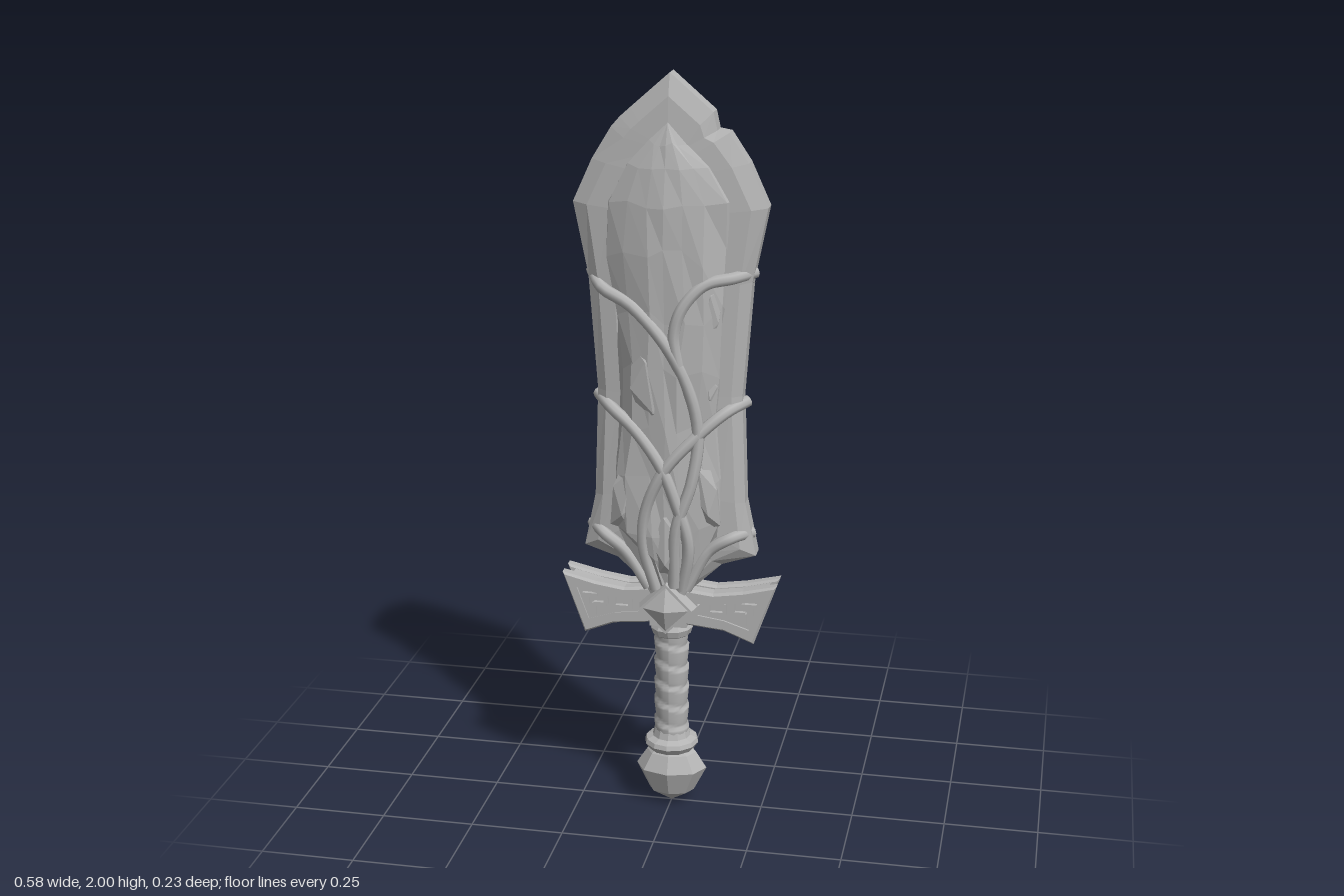
import * as THREE from 'three';

const stone = new THREE.MeshStandardMaterial({ color: 0xb4b4b4 });
stone.name = 'stone grey';
const facetedStone = stone.clone();
facetedStone.flatShading = true;
facetedStone.side = THREE.DoubleSide;

let seed = 7;
const rand = () => ((seed = (seed * 16807) % 2147483647) / 2147483647) * 2 - 1;

function add(parent, name, geometry, material = facetedStone) {
  const mesh = new THREE.Mesh(geometry, material);
  mesh.name = name;
  parent.add(mesh);
  return mesh;
}

// Joins rows of points with quads; closed rows wrap around
function loft(rows, closed) {
  const n = rows[0].length, index = [];
  for (let r = 0; r < rows.length - 1; r++) {
    for (let i = 0; i < (closed ? n : n - 1); i++) {
      const j = (i + 1) % n, a = r * n, b = a + n;
      index.push(a + i, b + i, b + j, a + i, b + j, a + j);
    }
  }
  const g = new THREE.BufferGeometry();
  g.setAttribute('position', new THREE.Float32BufferAttribute(rows.flat(2), 3));
  g.setIndex(index);
  g.computeVertexNormals();
  return g;
}

// Rock core: height, half width, depth
const CORE = [
  [1.88, 0, 0.05], [1.83, 0.05, 0.068], [1.77, 0.11, 0.083], [1.68, 0.16, 0.095], [1.55, 0.157, 0.1],
  [1.4, 0.145, 0.097], [1.25, 0.135, 0.095], [1.1, 0.14, 0.093], [0.95, 0.155, 0.095],
  [0.82, 0.15, 0.09], [0.72, 0.09, 0.08], [0.62, 0.04, 0.06],
];
function coreAt(y) {
  let i = 0;
  while (i < CORE.length - 2 && CORE[i + 1][0] > y) i++;
  const a = CORE[i], b = CORE[i + 1];
  const t = THREE.MathUtils.clamp((a[0] - y) / (a[0] - b[0]), 0, 1);
  return [a[1] + (b[1] - a[1]) * t, a[2] + (b[2] - a[2]) * t];
}
function surfaceZ(x, y) {
  const [w, d] = coreAt(y);
  const u = Math.min(1, Math.abs(x) / Math.max(w, 0.01));
  return 0.048 + (d - 0.048) * (1 - u * u);
}

function coreGeometry() {
  const columns = [-1, -0.93, -0.62, -0.3, 0, 0.3, 0.62, 0.93, 1];
  const rows = CORE.map(([y, w], r) => columns.map((u, c) => {
    const edge = c === 0 || c === columns.length - 1;
    const rough = r > 3 ? 1 : r > 0 ? 0.35 : 0;
    const x = u * w + rand() * 0.012 * rough * (u ? 1 : 0.5);
    const yy = y + rand() * 0.025 * rough;
    return [x, yy, edge ? 0.02 : surfaceZ(u * w, y) + 0.005 + rand() * 0.007 * rough];
  }));
  return loft(rows, false);
}

// Outer x, y then inner x, y, from the tip down one side
const LOWER = [
  [0.2, 1.78, 0.1, 1.76], [0.25, 1.67, 0.15, 1.66], [0.212, 1.48, 0.14, 1.47],
  [0.19, 1.18, 0.125, 1.18], [0.2, 0.89, 0.14, 0.9], [0.23, 0.745, 0.13, 0.8],
  [0.14, 0.715, 0.08, 0.75], [0.05, 0.63, 0.02, 0.66],
];
const NOTCHED = [[0.11, 1.905, 0.035, 1.83], [0.12, 1.86, 0.045, 1.82], [0.15, 1.855, 0.06, 1.8], ...LOWER];
const PLAIN = [[0.1, 1.912, 0.035, 1.83], [0.128, 1.887, 0.045, 1.82], [0.15, 1.862, 0.06, 1.8], ...LOWER];

function bladeGeometry() {
  const loop = [[0, 2, 0, 1.86], ...NOTCHED, ...PLAIN.map(([a, b, c, d]) => [-a, b, -c, d]).reverse()];
  const outer = z => loop.map(p => [p[0], p[1], z]);
  const inner = z => loop.map(p => [p[2], p[3], z]);
  const middle = z => loop.map(p => [p[0] * 0.6 + p[2] * 0.4, p[1] * 0.6 + p[3] * 0.4, z]);
  return loft([inner(-0.05), middle(-0.044), outer(-0.024), outer(0.024), middle(0.044), inner(0.05)], true);
}

// Vines on one face; a path that begins at the edge wraps round it
const VINES = [
  [[-0.21, 1.49], [-0.17, 1.455], [-0.09, 1.42], [0, 1.33], [0.06, 1.21], [0.085, 1.09], [0.07, 0.96], [0.03, 0.83], [0.02, 0.66]],
  [[0.215, 1.5], [0.17, 1.495], [0.1, 1.48], [0.045, 1.42], [0.025, 1.35], [0.035, 1.27]],
  [[-0.195, 1.16], [-0.15, 1.14], [-0.08, 1.09], [-0.01, 1.0], [0.03, 0.9], [0.06, 0.78], [0.04, 0.65]],
  [[0.2, 1.16], [0.15, 1.14], [0.08, 1.08], [0, 0.99], [-0.05, 0.88], [-0.06, 0.78], [-0.03, 0.65]],
  [[-0.215, 0.8], [-0.17, 0.79], [-0.11, 0.74], [-0.05, 0.65]],
  [[0.215, 0.8], [0.17, 0.8], [0.11, 0.76], [0.05, 0.65]],
];
function vineGeometry(path) {
  const points = path.map(([x, y], i) => new THREE.Vector3(x, y, i ? surfaceZ(x, y) + 0.004 : -0.005));
  return new THREE.TubeGeometry(new THREE.CatmullRomCurve3(points), 40, 0.016, 8);
}

// Loose shards: x, y, half width, half height, tilt
const SHARDS = [
  [0.1, 1.39, 0.042, 0.12, -0.25], [-0.1, 0.92, 0.05, 0.13, -0.25], [0, 0.79, 0.05, 0.12, 0],
  [-0.04, 1.21, 0.06, 0.13, 0.15], [0.11, 1.21, 0.025, 0.06, 0.1], [0.1, 0.93, 0.04, 0.12, 0.2],
];

// Everything that is repeated on the two faces of the sword
function buildFace(parent) {
  add(parent, 'rockCore', coreGeometry());
  for (const path of VINES) add(parent, 'vine', vineGeometry(path), stone);
  for (const [x, y, w, h, tilt] of SHARDS) {
    const shard = add(parent, 'rockShard', new THREE.IcosahedronGeometry(1, 0));
    shard.scale.set(w, h, 0.03);
    shard.rotation.z = tilt;
    shard.position.set(x, y, surfaceZ(x, y) - 0.016);
  }
  add(parent, 'gemSetting', new THREE.CylinderGeometry(0.07, 0.088, 0.08, 4).rotateX(Math.PI / 2).translate(0, 0.598, 0.045));
  add(parent, 'gem', new THREE.ConeGeometry(0.066, 0.026, 4).rotateX(Math.PI / 2).translate(0, 0.598, 0.096));
}

const toPoints = list => list.map(([x, y]) => new THREE.Vector2(x, y));

// One wing of the guard, with carved frames on both faces
function buildWing(parent) {
  const outline = [[0.03, 0.64], [0.12, 0.63], [0.2, 0.642], [0.283, 0.663], [0.226, 0.508], [0.15, 0.538], [0.03, 0.55]];
  const opening = [[0.08, 0.607], [0.13, 0.607], [0.2, 0.617], [0.25, 0.63], [0.217, 0.541], [0.15, 0.563], [0.08, 0.573]];
  const frame = new THREE.Shape(toPoints(outline));
  frame.holes.push(new THREE.Path(toPoints(opening)));
  const plate = new THREE.Shape(toPoints(outline.map(([x, y]) => [x * 0.94, 0.585 + (y - 0.585) * 0.94])));
  add(parent, 'guardCore', new THREE.ExtrudeGeometry(plate, { depth: 0.06, bevelEnabled: false }).translate(0, 0, -0.03));
  const bevel = { depth: 0.022, bevelThickness: 0.008, bevelSize: 0.006, bevelSegments: 1 };
  // Key pattern strokes: x, y, width, height
  const strokes = [
    [0.105, 0.59, 0.012, 0.035], [0.13, 0.578, 0.04, 0.01], [0.15, 0.592, 0.01, 0.03],
    [0.172, 0.6, 0.012, 0.035], [0.188, 0.582, 0.035, 0.011], [0.204, 0.567, 0.011, 0.035],
    [0.216, 0.606, 0.04, 0.011], [0.222, 0.592, 0.01, 0.03],
  ];
  for (const side of [1, -1]) {
    add(parent, 'guardFrame', new THREE.ExtrudeGeometry(frame, bevel).translate(0, 0, side * 0.03 - 0.011));
    for (const [x, y, w, h] of strokes) {
      add(parent, 'guardCarving', new THREE.BoxGeometry(w, h, 0.02).translate(x, y, side * 0.032));
    }
  }
}

// Grip with slanted leather wraps
function gripGeometry() {
  const g = new THREE.CylinderGeometry(1, 1, 0.32, 20, 48, true);
  const p = g.attributes.position;
  for (let i = 0; i < p.count; i++) {
    const x = p.getX(i), y = p.getY(i), z = p.getZ(i);
    const turn = y * 17 + x * 0.22 + z * 0.12;
    const r = 0.039 + 0.009 * Math.sqrt(turn - Math.floor(turn));
    p.setXYZ(i, x * r, y + 0.36, z * r);
  }
  g.computeVertexNormals();
  return g;
}

export function createModel() {
  const sword = new THREE.Group();
  sword.name = 'sword';

  add(sword, 'bladeRim', bladeGeometry());
  for (const [name, wing, turn] of [['front', 'left', 0], ['back', 'right', Math.PI]]) {
    const face = new THREE.Group();
    face.name = name + 'Face';
    face.rotation.y = turn;
    buildFace(face);
    const guard = new THREE.Group();
    guard.name = wing + 'GuardWing';
    guard.rotation.y = turn;
    buildWing(guard);
    sword.add(face, guard);
  }

  // Handle, from the guard down to the pommel
  add(sword, 'guardHub', new THREE.BoxGeometry(0.1, 0.12, 0.1).translate(0, 0.595, 0));
  const lathe = (list, sides) => new THREE.LatheGeometry(toPoints(list), sides);
  add(sword, 'upperCollar', lathe([[0.035, 0.49], [0.052, 0.502], [0.058, 0.52], [0.05, 0.535], [0.045, 0.56]], 12));
  add(sword, 'grip', gripGeometry(), stone);
  add(sword, 'lowerCollar', lathe([[0.045, 0.155], [0.062, 0.163], [0.074, 0.18], [0.07, 0.192], [0.052, 0.2], [0.046, 0.222], [0.04, 0.23]], 12));
  add(sword, 'pommel', lathe([[0, 0], [0.062, 0.036], [0.097, 0.105], [0.068, 0.15], [0.045, 0.17]], 8)).scale.z = 0.72;
  return sword;
}
